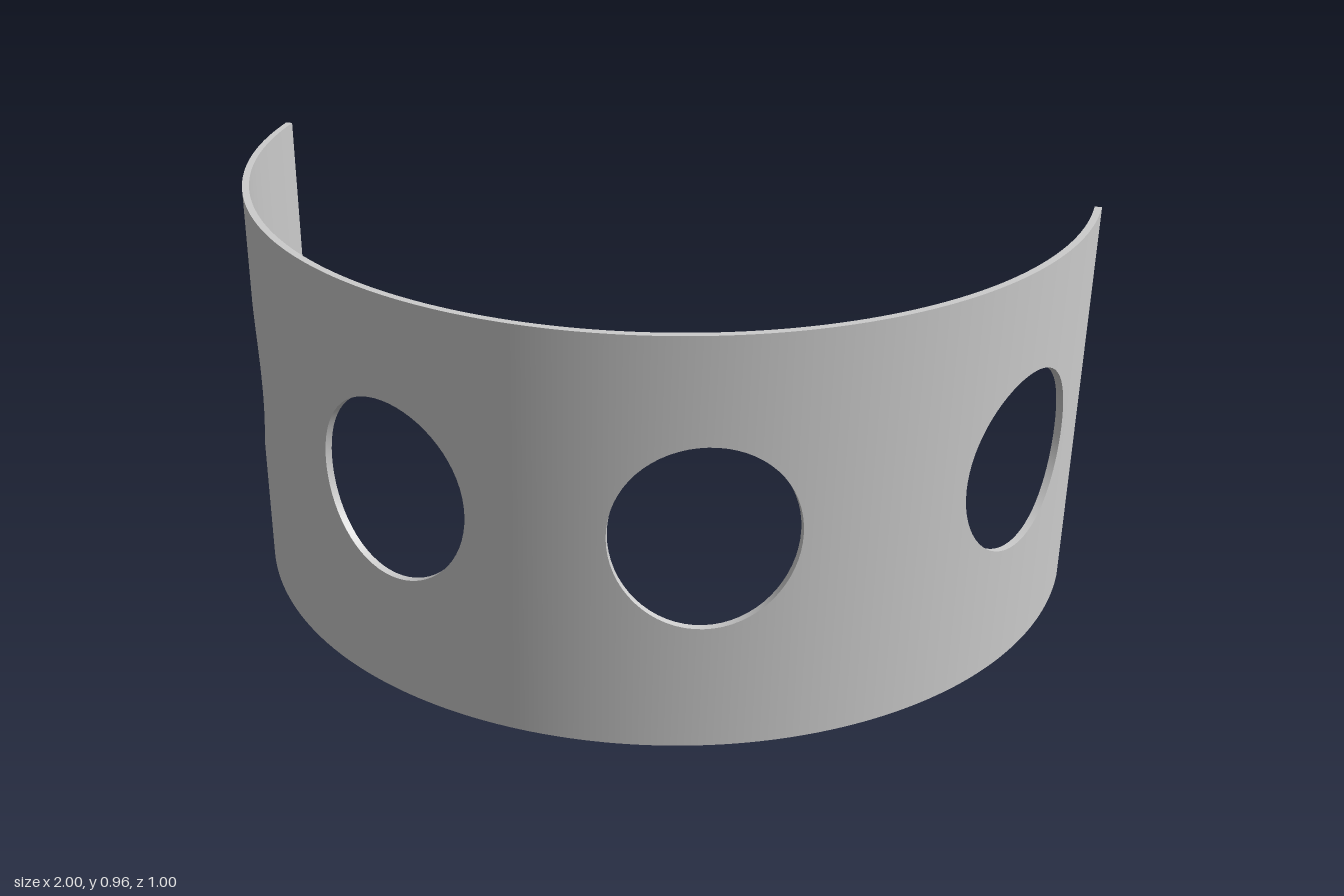
import * as THREE from 'three';
import { toCreasedNormals } from 'three/addons/utils/BufferGeometryUtils.js';

const OUTER = 1, INNER = 0.984, HEIGHT = 0.957, AXIS_Z = -0.5;
const HOLE_Y = 0.505, HOLE_RY = 0.2115;
const HOLE_HALF = THREE.MathUtils.degToRad(11.62);
const HOLES = [-66.65, -20.4, 20.4, 66.65].map(THREE.MathUtils.degToRad);

// Point on the curved wall: angle 0 is the middle of the front
const at = (r, a, y) => [r * Math.sin(a), y, r * Math.cos(a) + AXIS_Z];

function createWall() {
  const pos = [];
  const quad = (a, b, c, d) => pos.push(...a, ...b, ...c, ...a, ...c, ...d);

  // Solid piece of wall between angles a and b, from lo to hi at each end
  const piece = (a, b, loA, loB, hiA, hiB) => {
    quad(at(OUTER, a, loA), at(OUTER, b, loB), at(OUTER, b, hiB), at(OUTER, a, hiA));
    quad(at(INNER, b, loB), at(INNER, a, loA), at(INNER, a, hiA), at(INNER, b, hiB));
    quad(at(OUTER, a, hiA), at(OUTER, b, hiB), at(INNER, b, hiB), at(INNER, a, hiA));
    quad(at(INNER, a, loA), at(INNER, b, loB), at(OUTER, b, loB), at(OUTER, a, loA));
  };

  // Plain stretch of wall
  const plain = (from, to) => {
    const n = Math.ceil((to - from) / 0.03);
    for (let i = 0; i < n; i++) {
      const a = from + (to - from) * i / n, b = from + (to - from) * (i + 1) / n;
      piece(a, b, 0, 0, HEIGHT, HEIGHT);
    }
  };

  // Stretch with a round hole: one band below the opening, one above
  const holed = (centre) => {
    const n = 32;
    for (let i = 0; i < n; i++) {
      const t0 = Math.PI * i / n, t1 = Math.PI * (i + 1) / n;
      const a = centre - HOLE_HALF * Math.cos(t0), b = centre - HOLE_HALF * Math.cos(t1);
      const h0 = HOLE_RY * Math.sin(t0), h1 = HOLE_RY * Math.sin(t1);
      piece(a, b, 0, 0, HOLE_Y - h0, HOLE_Y - h1);
      piece(a, b, HOLE_Y + h0, HOLE_Y + h1, HEIGHT, HEIGHT);
    }
  };

  let start = -Math.PI / 2;
  for (const c of HOLES) {
    plain(start, c - HOLE_HALF);
    holed(c);
    start = c + HOLE_HALF;
  }
  plain(start, Math.PI / 2);

  // End faces at the back
  const e = Math.PI / 2;
  quad(at(OUTER, e, 0), at(INNER, e, 0), at(INNER, e, HEIGHT), at(OUTER, e, HEIGHT));
  quad(at(INNER, -e, 0), at(OUTER, -e, 0), at(OUTER, -e, HEIGHT), at(INNER, -e, HEIGHT));

  const geo = new THREE.BufferGeometry();
  geo.setAttribute('position', new THREE.Float32BufferAttribute(pos, 3));
  return toCreasedNormals(geo, 0.6);
}

export function createModel() {
  const group = new THREE.Group();
  group.name = 'perforatedHalfRing';
  const wall = new THREE.Mesh(createWall(), new THREE.MeshStandardMaterial({ color: 0xcccccc }));
  wall.name = 'curvedWall';
  group.add(wall);
  return group;
}
